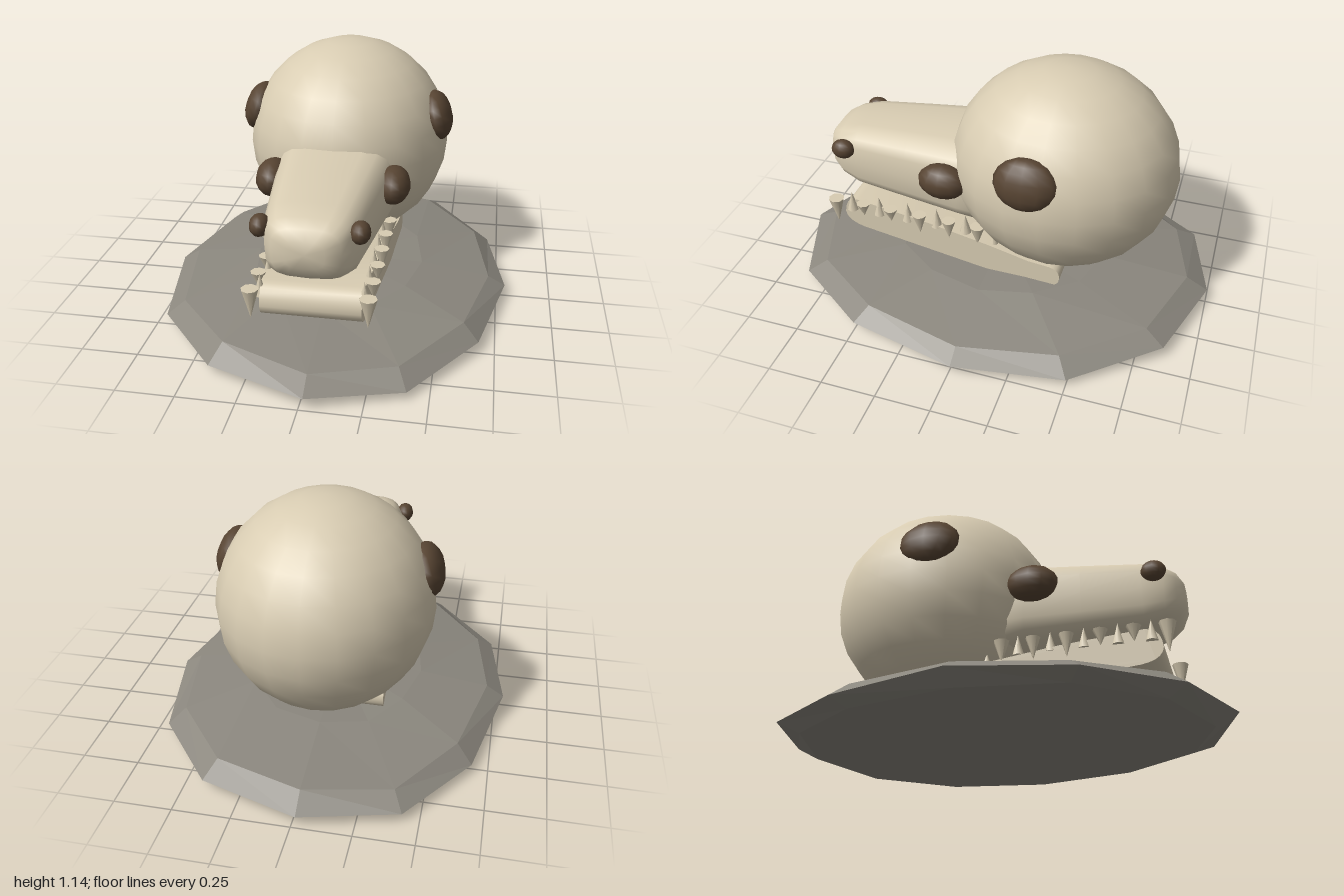
import * as THREE from 'three';
import { toCreasedNormals, mergeVertices } from 'three/addons/utils/BufferGeometryUtils.js';

const bone = new THREE.MeshStandardMaterial({ color: 0xd8ccb2 });
bone.name = 'bone';
const socket = new THREE.MeshStandardMaterial({ color: 0x574432 });
socket.name = 'dark socket';
const stone = new THREE.MeshStandardMaterial({ color: 0x8b877e, flatShading: true });
stone.name = 'stone';

function add(parent, name, geometry, material) {
  const mesh = new THREE.Mesh(geometry, material);
  mesh.name = name;
  parent.add(mesh);
  return mesh;
}

// Skin over equal-length rings of Vector3, closed at both ends by a fan
function loft(rings) {
  const n = rings[0].length, pos = [], index = [];
  rings.forEach(r => r.forEach(p => pos.push(p.x, p.y, p.z)));
  for (let r = 0; r < rings.length - 1; r++) {
    for (let i = 0; i < n; i++) {
      const a = r * n + i, b = r * n + (i + 1) % n;
      index.push(a, b, a + n, b, b + n, a + n);
    }
  }
  for (const r of [0, rings.length - 1]) {
    const c = rings[r].reduce((s, p) => s.add(p), new THREE.Vector3()).divideScalar(n);
    const ci = pos.length / 3;
    pos.push(c.x, c.y, c.z);
    for (let i = 0; i < n; i++) {
      const a = r * n + i, b = r * n + (i + 1) % n;
      if (r === 0) index.push(ci, b, a); else index.push(ci, a, b);
    }
  }
  const g = new THREE.BufferGeometry();
  g.setAttribute('position', new THREE.Float32BufferAttribute(pos, 3));
  g.setIndex(index);
  g.computeVertexNormals();
  return g;
}

// Irregular faceted slab, outline ordered so that the skin faces outwards
function slabGeometry() {
  const outline = [[-0.02, -1], [-0.43, -0.885], [-0.68, -0.52], [-0.79, -0.01], [-0.71, 0.48], [-0.41, 0.835],
    [0.02, 1], [0.41, 0.865], [0.68, 0.495], [0.79, -0.01], [0.7, -0.5], [0.41, -0.865]];
  const levels = [[0.9, 0], [1, 0.045], [0.9, 0.1], [0.5, 0.148]];
  return loft(levels.map(([s, y], k) => outline.map(([x, z], i) =>
    new THREE.Vector3(x * s, y + (k ? 0.012 * Math.sin(i * 2.3 + k) * (k === 3 ? 0.5 : 1) : 0), z * s))));
}

// Snout: rounded cross-sections [z, half width, bottom, top]
function snoutGeometry() {
  const sections = [[-0.1, 0.28, 0.36, 0.785], [0.15, 0.262, 0.375, 0.772], [0.4, 0.232, 0.392, 0.755],
    [0.66, 0.2, 0.412, 0.735], [0.75, 0.175, 0.445, 0.712], [0.8, 0.14, 0.48, 0.685], [0.83, 0.08, 0.53, 0.645]];
  const soft = v => Math.sign(v) * Math.abs(v) ** 0.6;
  return loft(sections.map(([z, w, lo, hi]) => Array.from({ length: 20 }, (_, i) => {
    const a = i / 20 * Math.PI * 2;
    return new THREE.Vector3(w * soft(Math.cos(a)), (lo + hi) / 2 + (hi - lo) / 2 * soft(Math.sin(a)), z);
  })));
}

// Jaw: side profile extruded across, narrowing towards the front
function jawGeometry() {
  const s = new THREE.Shape();
  s.moveTo(-0.3, 0.145);
  s.lineTo(0, 0.143);
  s.lineTo(0.64, 0.215);
  s.quadraticCurveTo(0.73, 0.23, 0.735, 0.285);
  s.quadraticCurveTo(0.73, 0.37, 0.66, 0.372);
  s.lineTo(0.3, 0.335);
  s.lineTo(0, 0.29);
  s.lineTo(-0.2, 0.252);
  s.lineTo(-0.3, 0.247);
  s.quadraticCurveTo(-0.35, 0.24, -0.35, 0.195);
  s.quadraticCurveTo(-0.35, 0.145, -0.3, 0.145);
  const g = new THREE.ExtrudeGeometry(s, { depth: 1, bevelEnabled: false, curveSegments: 5 });
  g.translate(0, 0, -0.5);
  g.rotateY(-Math.PI / 2);
  const p = g.attributes.position;
  for (let i = 0; i < p.count; i++) {
    const t = THREE.MathUtils.clamp((p.getZ(i) + 0.35) / 1.085, 0, 1);
    p.setX(i, p.getX(i) * THREE.MathUtils.lerp(0.53, 0.42, t));
  }
  g.deleteAttribute('normal');
  g.deleteAttribute('uv');
  return toCreasedNormals(mergeVertices(g), 0.7);
}

export function createModel() {
  const model = new THREE.Group();
  model.name = 'skullOnSlab';

  add(model, 'slab', slabGeometry(), stone);

  const cranium = add(model, 'cranium', new THREE.SphereGeometry(1, 20, 14), bone);
  cranium.scale.set(0.473, 0.475, 0.513);
  cranium.position.set(0, 0.665, -0.293);

  add(model, 'snout', snoutGeometry(), bone);
  add(model, 'lowerJaw', jawGeometry(), bone);

  const ball = new THREE.SphereGeometry(1, 12, 9);
  const pits = [
    ['templeHollow', [0.425, 0.81, -0.228], [0.07, 0.115, 0.14], 0.25],
    ['eyeSocket', [0.27, 0.625, 0.197], [0.075, 0.082, 0.115], 0],
    ['nostril', [0.2, 0.646, 0.715], [0.042, 0.046, 0.055], 0],
  ];
  // Teeth: [z, y of base, y of tip, radius]
  const upperTeeth = [[0.76, 0.38, 0.245, 0.037], [0.62, 0.38, 0.31, 0.033], [0.48, 0.38, 0.31, 0.033],
    [0.335, 0.38, 0.275, 0.033], [0.19, 0.38, 0.28, 0.033], [0.05, 0.38, 0.275, 0.035]];
  const lowerTeeth = [0.69, 0.55, 0.405, 0.26, 0.117, -0.022].map((z, i) =>
    i === 5 ? [z, 0.265, 0.345, 0.026] : [z, 0.315, 0.412, 0.027]);

  for (const side of [-1, 1]) {
    const label = side > 0 ? 'left' : 'right';
    for (const [name, at, size, tilt] of pits) {
      const pit = add(model, `${label} ${name}`, ball, socket);
      pit.position.set(at[0] * side, at[1], at[2]);
      pit.scale.set(...size);
      pit.rotation.z = tilt * side;
    }
    const addTooth = (name, x, [z, base, tip, radius]) => {
      const tooth = add(model, `${label} ${name}`, new THREE.ConeGeometry(radius, Math.abs(tip - base), 8), bone);
      tooth.position.set(x * side, (base + tip) / 2, z);
      if (tip < base) tooth.rotation.x = Math.PI;
    };
    upperTeeth.forEach(t => addTooth('upperTooth', 0.24, t));
    lowerTeeth.forEach(t => addTooth('lowerTooth', 0.215, t));
  }
  return model;
}
